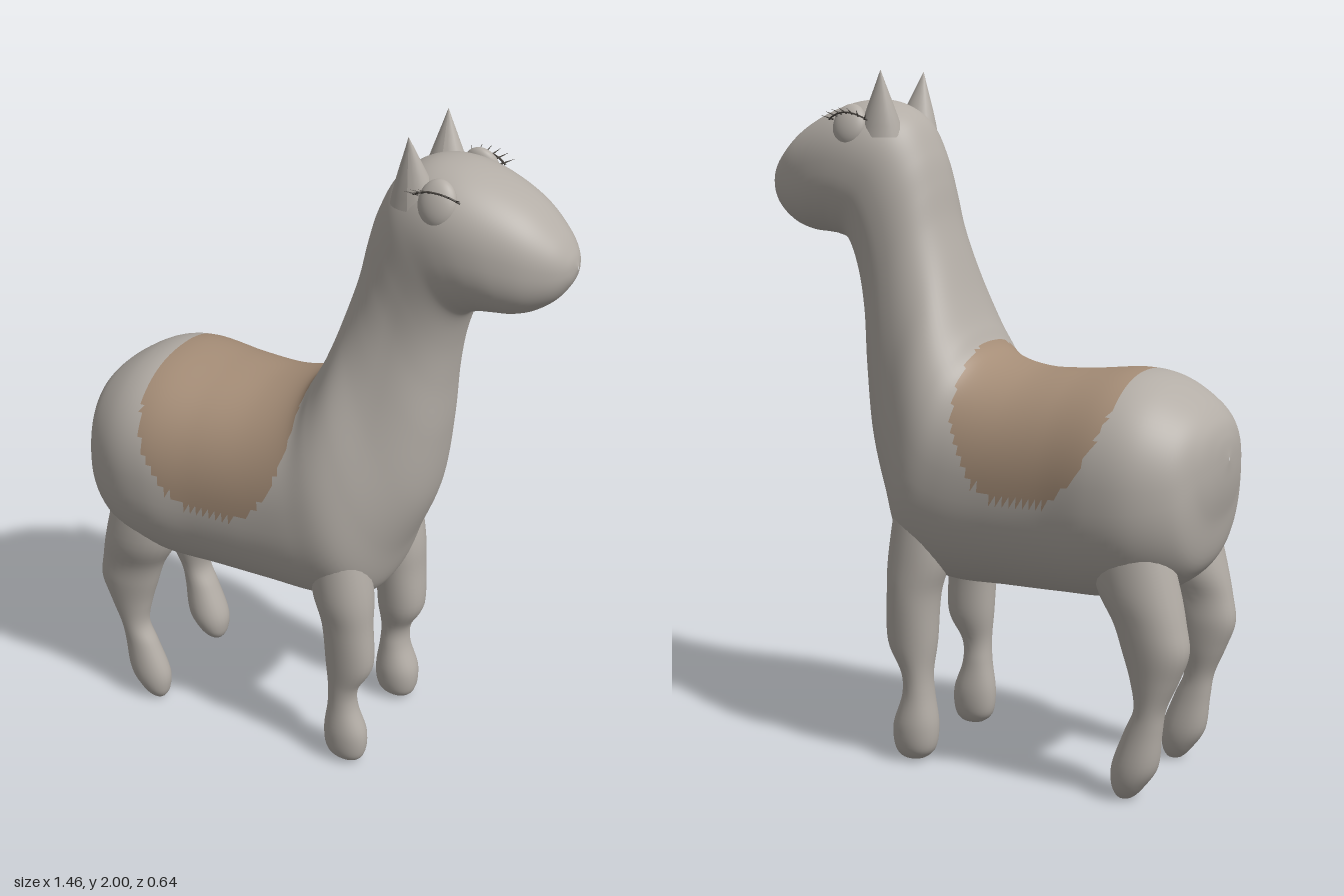
import * as THREE from 'three';

const wool = new THREE.MeshStandardMaterial({ color: 0xb3ada6 });
wool.name = 'greyWool';
const saddle = new THREE.MeshStandardMaterial({ color: 0xa58d77 });
saddle.name = 'brownBlanket';
const dark = new THREE.MeshStandardMaterial({ color: 0x4a4540 });
dark.name = 'darkLash';

// Smooth skin through oval sections: [ax, ay, bx, by, half width, centre z].
// a and b are opposite ends of each oval; inPatch picks faces for the second material.
function loft(name, rows, rings, sides, power, inPatch) {
  const curve = (f) => new THREE.CatmullRomCurve3(rows.map(f), false, 'catmullrom', 0.5);
  const aLine = curve((r) => new THREE.Vector3(r[0], r[1], 0));
  const bLine = curve((r) => new THREE.Vector3(r[2], r[3], 0));
  const zLine = curve((r) => new THREE.Vector3(r[4], r[5] || 0, 0));
  const bend = (v) => Math.sign(v) * Math.abs(v) ** power;
  const pos = [];
  for (let i = 0; i <= rings; i++) {
    const t = i / rings;
    const a = aLine.getPoint(t), b = bLine.getPoint(t), w = zLine.getPoint(t);
    for (let j = 0; j < sides; j++) {
      const q = (j / sides) * Math.PI * 2;
      const c = bend(Math.cos(q)) / 2;
      pos.push((a.x + b.x) / 2 + (a.x - b.x) * c, (a.y + b.y) / 2 + (a.y - b.y) * c,
        w.y + Math.max(w.x, 0) * bend(Math.sin(q)));
    }
  }
  const main = [], patch = [];
  const mid = (tri, k) => tri.reduce((s, v) => s + pos[v * 3 + k], 0) / 3;
  for (let i = 0; i < rings; i++) {
    for (let j = 0; j < sides; j++) {
      const p = i * sides + j, q = i * sides + (j + 1) % sides;
      for (const tri of [[p, q, p + sides], [q, q + sides, p + sides]]) {
        (inPatch && inPatch(mid(tri, 0), mid(tri, 1)) ? patch : main).push(...tri);
      }
    }
  }
  const geo = new THREE.BufferGeometry();
  geo.setAttribute('position', new THREE.Float32BufferAttribute(pos, 3));
  geo.setIndex([...main, ...patch]);
  geo.computeVertexNormals();
  geo.addGroup(0, main.length, 0);
  geo.addGroup(main.length, patch.length, 1);
  const mesh = new THREE.Mesh(geo, inPatch ? [wool, saddle] : wool);
  mesh.name = name;
  return mesh;
}

// Blanket outline: wide over the back, narrowing down each flank
function onBlanket(x, y) {
  if (y < 0.83) return false;
  const t = Math.max(0, (1.17 - y) / 0.34);
  return Math.abs(x + 0.245 - 0.02 * t) < 0.245 * Math.sqrt(1 - 0.9 * t * t);
}

// Rump, barrel, chest, neck and head as back-line and belly-line pairs
const trunk = [
  [-0.73, 0.95, -0.73, 0.94, 0.002],
  [-0.722, 1.01, -0.722, 0.86, 0.09],
  [-0.70, 1.06, -0.705, 0.78, 0.17],
  [-0.65, 1.11, -0.67, 0.64, 0.25],
  [-0.56, 1.162, -0.56, 0.56, 0.308],
  [-0.46, 1.18, -0.42, 0.535, 0.322],
  [-0.30, 1.167, -0.28, 0.53, 0.306],
  [-0.15, 1.165, -0.10, 0.528, 0.30],
  [-0.03, 1.20, 0.08, 0.528, 0.30],
  [0.02, 1.27, 0.21, 0.57, 0.295],
  [0.06, 1.36, 0.28, 0.73, 0.262],
  [0.10, 1.48, 0.345, 0.90, 0.212],
  [0.13, 1.58, 0.375, 1.10, 0.182],
  [0.152, 1.68, 0.388, 1.27, 0.167],
  [0.18, 1.77, 0.407, 1.40, 0.167],
  [0.23, 1.86, 0.44, 1.498, 0.175],
  [0.31, 1.91, 0.485, 1.523, 0.182],
  [0.40, 1.917, 0.53, 1.53, 0.18],
  [0.50, 1.89, 0.58, 1.535, 0.166],
  [0.60, 1.838, 0.63, 1.552, 0.138],
  [0.675, 1.772, 0.68, 1.588, 0.095],
  [0.712, 1.722, 0.713, 1.635, 0.05],
  [0.726, 1.685, 0.726, 1.675, 0.002],
];

// Leg rows: height, back x, front x, half width, distance from the middle
const foreleg = [
  [0.82, 0.05, 0.20, 0.07, 0.19],
  [0.62, 0.055, 0.235, 0.085, 0.18],
  [0.50, 0.085, 0.24, 0.073, 0.182],
  [0.36, 0.095, 0.242, 0.062, 0.18],
  [0.27, 0.105, 0.198, 0.046, 0.185],
  [0.20, 0.102, 0.195, 0.047, 0.183],
  [0.11, 0.09, 0.225, 0.056, 0.182],
  [0.04, 0.098, 0.222, 0.048, 0.182],
  [0.008, 0.13, 0.20, 0.025, 0.182],
  [0.006, 0.164, 0.166, 0.001, 0.182],
];
const hindleg = [
  [0.82, -0.60, -0.40, 0.08, 0.19],
  [0.62, -0.655, -0.42, 0.095, 0.18],
  [0.51, -0.68, -0.475, 0.075, 0.182],
  [0.43, -0.69, -0.502, 0.068, 0.182],
  [0.35, -0.662, -0.527, 0.058, 0.182],
  [0.27, -0.628, -0.54, 0.047, 0.185],
  [0.20, -0.617, -0.512, 0.048, 0.184],
  [0.10, -0.605, -0.475, 0.055, 0.182],
  [0.04, -0.568, -0.475, 0.045, 0.182],
  [0.006, -0.535, -0.49, 0.022, 0.182],
  [0.003, -0.513, -0.511, 0.001, 0.182],
];

// The right feet spread a little wider than the left
function leg(name, rows, side) {
  const spread = side > 0 ? 0.92 : 1.12;
  return loft(name, rows.map(([y, back, front, w, z]) =>
    [front, y, back, y, w * (y < 0.6 ? spread : 1), side * z]), 54, 24, 0.95);
}

function ear(side) {
  const geo = new THREE.ConeGeometry(0.075, 0.19, 20, 6);
  const p = geo.attributes.position;
  // lean the tip back and outward, with bowed sides
  for (let i = 0; i < p.count; i++) {
    const h = (p.getY(i) + 0.095) / 0.19;
    const fat = 1 + 0.25 * h * (1 - h);
    p.setX(i, p.getX(i) * fat * 0.95 - 0.015 * h);
    p.setZ(i, p.getZ(i) * fat * 0.75 + side * 0.025 * h);
  }
  geo.computeVertexNormals();
  const mesh = new THREE.Mesh(geo, wool);
  mesh.name = 'ear';
  mesh.position.set(0.31, 1.905, side * 0.098);
  return mesh;
}

function eye(side) {
  const group = new THREE.Group();
  group.name = 'eye';
  const ball = new THREE.Mesh(new THREE.SphereGeometry(1, 28, 18), wool);
  ball.name = 'eyeball';
  ball.scale.set(0.053, 0.064, 0.03);
  group.add(ball);
  // upper lid line with a fan of fine lashes
  const lid = new THREE.Mesh(new THREE.TubeGeometry(new THREE.QuadraticBezierCurve3(
    new THREE.Vector3(-0.065, 0.014, 0.012), new THREE.Vector3(0, 0.045, 0.055),
    new THREE.Vector3(0.065, 0.012, 0.012)), 16, 0.0025, 6), dark);
  lid.name = 'lashLine';
  group.add(lid);
  for (let i = 0; i < 7; i++) {
    const s = i / 3 - 1;
    const lash = new THREE.Mesh(new THREE.ConeGeometry(0.003, 0.04, 5), dark);
    lash.name = 'lash';
    const dir = new THREE.Vector3(s * 0.7 - 0.2, 0.15, 0.7).normalize();
    lash.quaternion.setFromUnitVectors(new THREE.Vector3(0, 1, 0), dir);
    lash.position.set(s * 0.055, 0.028 - 0.012 * s * s, 0.03 - 0.016 * s * s)
      .addScaledVector(dir, 0.015);
    group.add(lash);
  }
  group.position.set(0.388, 1.843, side * 0.142);
  group.rotation.x = side > 0 ? -0.3 : 0.3;
  // turn the far eye to face outward
  if (side < 0) group.rotation.y = Math.PI;
  return group;
}

export function createModel() {
  const model = new THREE.Group();
  model.name = 'llama';
  model.add(loft('bodyNeckAndHead', trunk, 176, 80, 0.88, onBlanket));
  for (const side of [1, -1]) {
    const label = side > 0 ? 'Left' : 'Right';
    model.add(leg('foreleg' + label, foreleg, side));
    model.add(leg('hindleg' + label, hindleg, side));
    model.add(ear(side), eye(side));
  }
  return model;
}
